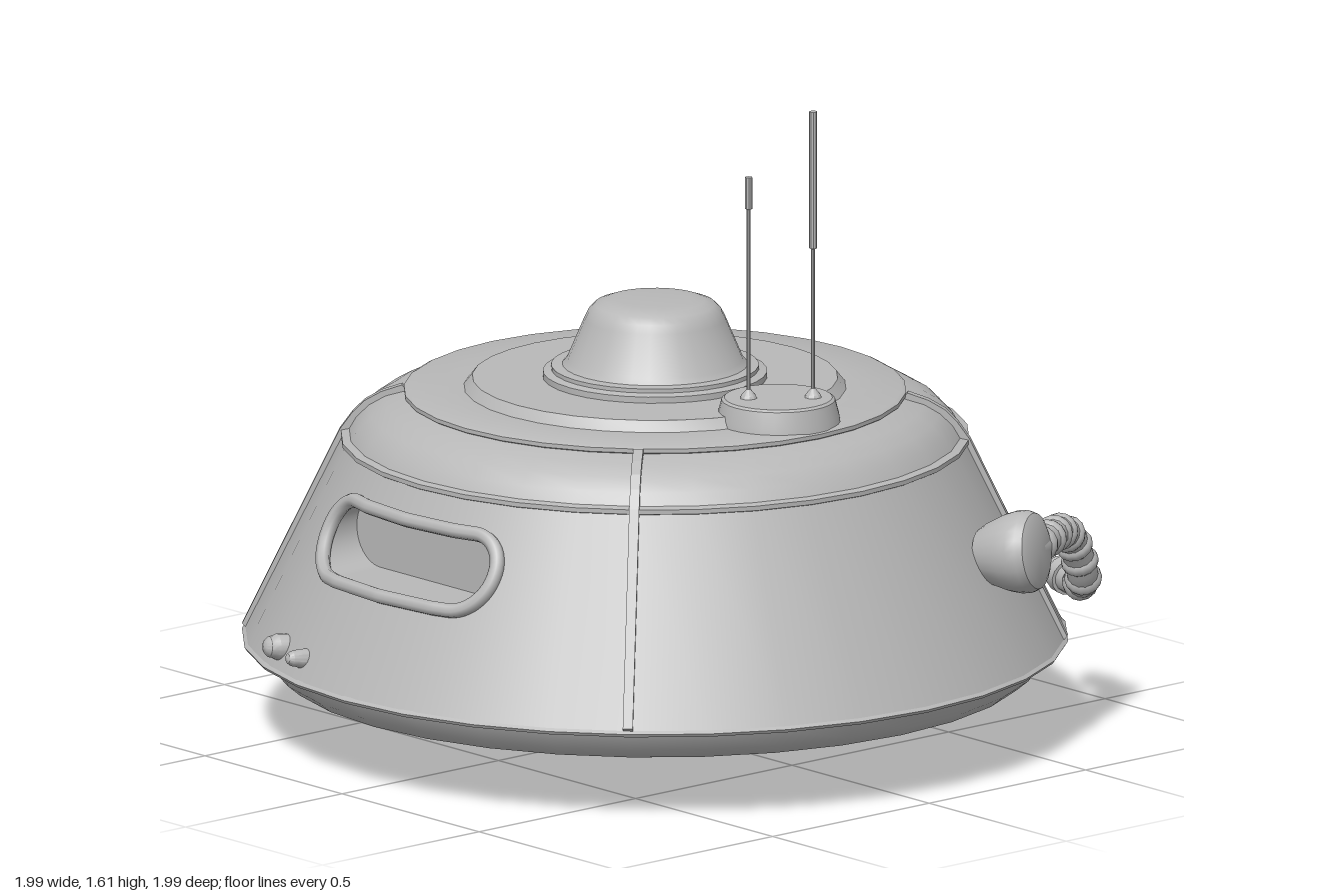
import * as THREE from 'three';
import { toCreasedNormals } from 'three/addons/utils/BufferGeometryUtils.js';
import { RoundedBoxGeometry } from 'three/addons/geometries/RoundedBoxGeometry.js';

const grey = new THREE.MeshStandardMaterial({ color: 0xb8b8b8 });
grey.name = 'hullGrey';
const V = (x, y, z) => new THREE.Vector3(x, y, z);
const UP = V(0, 1, 0);
const BASE = 0.23, TOP = 0.72, SEG = Math.PI / 16;

function add(parent, name, geo, x = 0, y = 0, z = 0) {
  const m = new THREE.Mesh(geo, grey);
  m.name = name;
  m.position.set(x, y, z);
  parent.add(m);
  return m;
}

// Profile of [radius, height] pairs spun around y, with sharp corners kept
function lathe(pts, n = 32) {
  return toCreasedNormals(new THREE.LatheGeometry(pts.map(p => new THREE.Vector2(...p)), n), 0.55);
}

// Closed rows of points joined into a skin
function loft(rows) {
  const n = rows[0].length, idx = [];
  for (let j = 0; j < rows.length - 1; j++) {
    for (let i = 0; i < n; i++) {
      const k = (i + 1) % n, a = j * n + i, b = a + n, c = (j + 1) * n + k, d = j * n + k;
      idx.push(a, b, c, a, c, d);
    }
  }
  const g = new THREE.BufferGeometry().setFromPoints(rows.flat());
  g.setIndex(idx);
  g.computeVertexNormals();
  return g;
}

// Sloping 32-sided wall, addressed by angle from +x and height
const radius = y => 0.99 - (y - BASE) * 0.24 / (TOP - BASE);
function onWall(a, y, lift = 0) {
  const m = ((a % SEG) + SEG) % SEG;
  const r = radius(y) * Math.cos(SEG / 2) / Math.cos(m - SEG / 2) + lift;
  return V(r * Math.cos(a), y, -r * Math.sin(a));
}

// Rounded opening outline, counter-clockwise, as [angle, height] pairs
function outline(w, y0, y1, rb, rt) {
  const s = new THREE.Shape();
  s.moveTo(-w + rb, y0).lineTo(w - rb, y0);
  if (rb) s.absarc(w - rb, y0 + rb, rb, -Math.PI / 2, 0);
  s.lineTo(w, y1 - rt).absarc(w - rt, y1 - rt, rt, 0, Math.PI / 2);
  s.lineTo(-w + rt, y1).absarc(-w + rt, y1 - rt, rt, Math.PI / 2, Math.PI);
  s.lineTo(-w, y0 + rb);
  if (rb) s.absarc(-w + rb, y0 + rb, rb, Math.PI, Math.PI * 1.5);
  else s.lineTo(-w, y0);
  return s.getSpacedPoints(120).slice(0, 120).map(p => [Math.asin(p.x / radius(p.y)), p.y]);
}

// Wall panel with an opening and a flat-backed recess behind it
function recessedPanel(name, hole, cy, backX) {
  const g = new THREE.Group();
  g.name = name;
  const W = SEG * 3;
  const outer = hole.map(([a, y]) => {
    const dy = y - cy;
    const t = Math.min(W / Math.max(Math.abs(a), 1e-6), (dy > 0 ? TOP - cy : cy - BASE) / Math.max(Math.abs(dy), 1e-6));
    return [a * t, cy + dy * t];
  });
  for (const c of [[-W, BASE], [W, BASE], [W, TOP], [-W, TOP]]) {
    const dist = p => Math.hypot(p[0] - c[0], p[1] - c[1]);
    let best = 0;
    outer.forEach((p, i) => { if (dist(p) < dist(outer[best])) best = i; });
    outer[best] = c;
  }
  const rows = [];
  for (let j = 0; j <= 8; j++) {
    rows.push(hole.map(([a, y], i) => onWall(a + (outer[i][0] - a) * j / 8, y + (outer[i][1] - y) * j / 8)));
  }
  const panel = loft(rows), p = panel.attributes.position, nor = panel.attributes.normal;
  for (let i = 0; i < p.count; i++) {
    const n = V(p.getX(i), 0, p.getZ(i)).normalize().setY(0.24 / 0.49).normalize();
    nor.setXYZ(i, n.x, n.y, n.z);
  }
  add(g, name + 'Wall', panel);
  const edge = rows[0], back = edge.map(e => V(backX, e.y, e.z));
  add(g, name + 'Recess', toCreasedNormals(loft([back.map(() => V(backX, cy, 0)), back, edge]), 0.55));
  return g;
}

export function createModel() {
  const model = new THREE.Group();
  model.name = 'domeShelter';

  // Hull underside, roof and turret
  add(model, 'lowerHull', lathe([[0, 0.2], [0.24, 0.2], [0.25, 0.14], [0.33, 0.14], [0.36, 0.12], [0.36, 0.08],
    [0.5, 0.08], [0.54, 0.09], [0.57, 0.115], [0.58, 0.14], [0.86, 0.14], [0.9, 0.15], [0.93, 0.175],
    [0.95, 0.215], [0.99, 0.222], [0.995, 0.23], [0.985, 0.238]]));
  add(model, 'roof', lathe([[0.745, 0.71], [0.757, 0.716], [0.757, 0.727], [0.737, 0.731], [0.72, 0.76], [0.69, 0.79],
    [0.65, 0.813], [0.6, 0.827], [0.605, 0.83], [0.605, 0.84], [0.595, 0.845], [0.46, 0.845], [0.44, 0.87],
    [0.27, 0.87], [0.27, 0.885], [0.25, 0.89], [0.25, 0.9], [0.225, 0.902], [0, 0.902]]));
  add(model, 'turret', lathe([[0.225, 0.9], [0.212, 0.915], [0.17, 1.015], [0.16, 1.035], [0.145, 1.05],
    [0.12, 1.059], [0.09, 1.062], [0, 1.062]]));

  // Side wall: two plain sectors, the doorway and the window
  const wall = [new THREE.Vector2(0.99, BASE), new THREE.Vector2(0.75, TOP)];
  for (const f of [1, -1]) {
    add(model, 'wallSector', new THREE.LatheGeometry(wall, 10, f * Math.PI / 2 + SEG * 3, SEG * 10));
  }
  model.add(recessedPanel('doorway', outline(0.232, 0.234, 0.65, 0, 0.08), 0.44, 0.755));
  const slot = outline(0.3, 0.47, 0.645, 0.085, 0.085);
  const windowBay = recessedPanel('window', slot, 0.557, 0.69);
  windowBay.rotation.y = Math.PI;
  const rim = new THREE.CatmullRomCurve3(slot.map(([a, y]) => onWall(a, y, 0.008)), true);
  add(windowBay, 'windowFrame', new THREE.TubeGeometry(rim, 120, 0.018, 8, true));
  model.add(windowBay);

  // Four diagonal seam ribs following wall and roof
  const line = [[0.985, 0.235], [0.75, 0.72], [0.72, 0.762], [0.69, 0.792], [0.65, 0.815], [0.6, 0.832]];
  const rib = new THREE.Shape([
    ...line.map(([r, y]) => new THREE.Vector2(r + 0.009, y + 0.009)),
    ...line.slice().reverse().map(([r, y]) => new THREE.Vector2(r - 0.015, y - 0.015))]);
  const ribGeo = new THREE.ExtrudeGeometry(rib, { depth: 0.024, bevelEnabled: false }).translate(0, 0, -0.012);
  for (let i = 0; i < 4; i++) {
    add(model, 'seamRib', ribGeo).rotation.y = Math.PI / 4 + i * Math.PI / 2;
  }

  // Antenna base and two masts
  add(model, 'antennaBase', lathe([[0.15, 0.84], [0.147, 0.86], [0.137, 0.898], [0.13, 0.903], [0, 0.903]]), 0, 0, 0.45);
  for (const [x, z, mid, top, r] of [[-0.06, 0.41, 1.37, 1.45, 0.009], [0.063, 0.505, 1.27, 1.61, 0.01]]) {
    add(model, 'antenna', lathe([[0.022, 0.9], [0.018, 0.91], [0.005, 0.925], [0.005, mid], [r, mid + 0.002],
      [r, top], [0, top]], 10), x, 0, z);
  }

  // Ventilation unit with round fan grille
  const vent = new THREE.Group();
  vent.name = 'ventUnit';
  vent.position.set(0.44, 0.512, -0.835);
  vent.rotation.set(-0.19, 2.658, 0, 'YXZ');
  add(vent, 'ventBox', new RoundedBoxGeometry(0.25, 0.25, 0.165, 3, 0.022));
  for (const r of [0.1, 0.07, 0.045]) add(vent, 'grilleRing', new THREE.TorusGeometry(r, 0.005, 6, 28), 0, 0, 0.084);
  for (let i = 0; i < 12; i++) {
    const bar = add(vent, 'grilleBar', new THREE.BoxGeometry(0.08, 0.007, 0.008).translate(0.06, 0, 0), 0, 0, 0.083);
    bar.rotation.z = i * Math.PI / 6;
  }
  add(vent, 'fanHub', new THREE.CylinderGeometry(0.023, 0.026, 0.014, 16).rotateX(Math.PI / 2), 0, 0, 0.085);
  model.add(vent);

  // Hose: round wall drum, bent ribbed pipe and end nozzle
  const drum = add(model, 'hoseDrum', lathe([[0, -0.1], [0.06, -0.1], [0.075, -0.075], [0.093, -0.03], [0.1, 0],
    [0.1, 0.025], [0.092, 0.043], [0.075, 0.051], [0, 0.054]], 24), 0.435, 0.52, 0.835);
  drum.quaternion.setFromUnitVectors(UP, V(0.45, 0.14, 0.87).normalize());
  const path = new THREE.CatmullRomCurve3([V(0.47, 0.52, 0.835), V(0.58, 0.52, 0.775), V(0.67, 0.508, 0.71),
    V(0.74, 0.475, 0.67), V(0.79, 0.41, 0.645), V(0.82, 0.355, 0.625), V(0.85, 0.33, 0.585), V(0.862, 0.33, 0.52)]);
  add(model, 'hosePipe', new THREE.TubeGeometry(path, 48, 0.038, 14));
  for (let i = 1; i < 10; i++) {
    const t = i / 10;
    const ring = add(model, 'hoseRing', new THREE.SphereGeometry(0.046, 14, 10).scale(1, 0.65, 1));
    ring.position.copy(path.getPointAt(t));
    ring.quaternion.setFromUnitVectors(UP, path.getTangentAt(t));
  }
  const tip = add(model, 'hoseNozzle', lathe([[0, -0.02], [0.045, -0.02], [0.047, 0.01], [0.036, 0.02], [0.034, 0.04],
    [0.025, 0.045], [0.022, 0.07], [0, 0.072]], 14), 0.864, 0.332, 0.51);
  tip.quaternion.setFromUnitVectors(UP, V(0.25, 0.15, -0.95).normalize());

  // Keypad beside the door
  add(model, 'keypad', new THREE.BoxGeometry(0.036, 0.075, 0.05), 0.963, 0.418, -0.27);
  add(model, 'keypadButton', new THREE.CylinderGeometry(0.011, 0.011, 0.012, 12).rotateZ(Math.PI / 2), 0.985, 0.407, -0.27);

  // Two marker lamps low on the wall
  for (const [z, r] of [[-0.33, 0.032], [-0.21, 0.023]]) {
    const lamp = add(model, 'markerLamp', lathe([[r, -0.03], [r, 0.02], [r * 0.85, 0.03], [r * 0.8, 0.04],
      [r * 0.5, 0.05], [0, 0.055]], 16), -Math.sqrt(0.955 ** 2 - z * z), 0.285, z);
    lamp.quaternion.setFromUnitVectors(UP, V(-0.95, 0.1, z).normalize());
  }

  // Hollow docking nozzle with crossbars and prongs underneath
  add(model, 'dockNozzle', lathe([[0, 0.06], [0.1, 0.06], [0.118, 0.018], [0.14, 0.018], [0.14, 0.036], [0.127, 0.04],
    [0.127, 0.048], [0.14, 0.052], [0.132, 0.075], [0.125, 0.08], [0.12, 0.2]]));
  for (let i = 0; i < 3; i++) {
    add(model, 'dockCrossbar', new THREE.BoxGeometry(0.2, 0.012, 0.014), 0, 0.04, 0).rotation.y = i * Math.PI / 3;
  }
  for (let i = 0; i < 6; i++) {
    const a = i * Math.PI / 3;
    add(model, 'dockProng', new THREE.CylinderGeometry(0.01, 0.007, 0.06, 8), 0.025 * Math.cos(a), 0.03, 0.025 * Math.sin(a));
  }
  return model;
}
